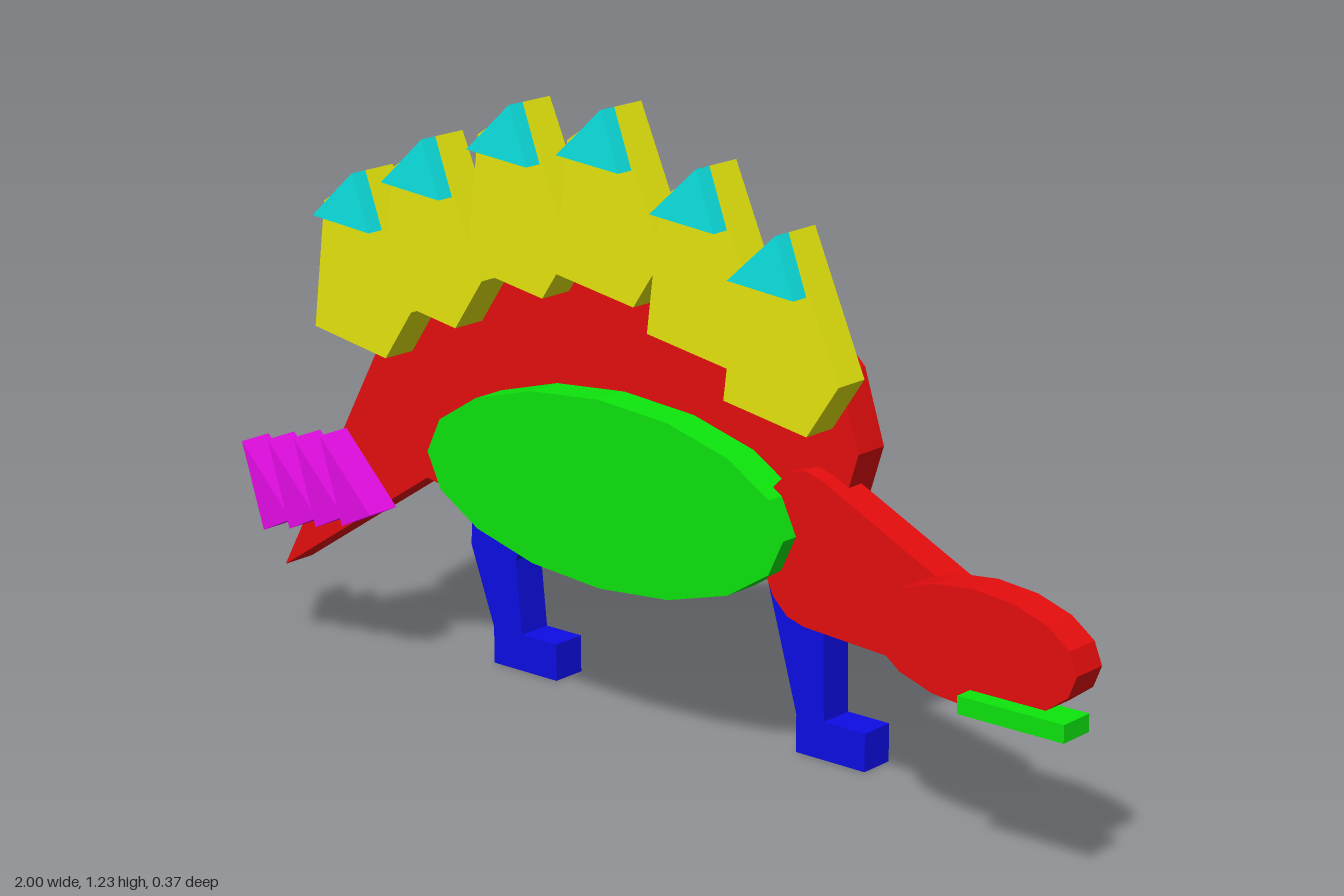
import * as THREE from 'three';

const T = 0.073; // slab thickness

function material(name, color) {
  const m = new THREE.MeshStandardMaterial({ color });
  m.name = name;
  return m;
}

// points along an elliptical arc, angles in steps of 22.5 degrees
function arc(cx, cy, rx, ry, from, to) {
  const points = [];
  for (let i = from; i <= to; i++) {
    const a = (i * Math.PI) / 8;
    points.push([cx + rx * Math.cos(a), cy + ry * Math.sin(a)]);
  }
  return points;
}

// flat cut-out of the given outline, with its back face at z
function slab(name, points, z, mat) {
  const shape = new THREE.Shape(points.map(([x, y]) => new THREE.Vector2(x, y)));
  const geometry = new THREE.ExtrudeGeometry(shape, { depth: T, bevelEnabled: false });
  const mesh = new THREE.Mesh(geometry, mat);
  mesh.name = name;
  mesh.position.z = z;
  return mesh;
}

export function createModel() {
  const red = material('red', 0xe60d0d);
  const green = material('green', 0x0de60d);
  const blue = material('blue', 0x0d0de6);
  const yellow = material('yellow', 0xe6e60d);
  const cyan = material('cyan', 0x0de6e6);
  const magenta = material('magenta', 0xe60de6);

  const model = new THREE.Group();
  model.name = 'platedDinosaur';

  // domed body running into the pointed tail
  model.add(slab('bodyAndTail', [
    ...arc(-0.135, 0.658, 0.585, 0.363, -6, 8), [-1, 0.15], [-0.6, 0.41],
  ], -T / 2, red));

  // belly patch, neck, head and jaw
  model.add(slab('belly', arc(-0.093, 0.494, 0.434, 0.181, 0, 15), T / 2, green));
  model.add(slab('neck', [
    ...arc(0.36, 0.475, 0.1, 0.145, 3, 12),
    ...arc(0.64, 0.397, 0.085, 0.085, -4, 3),
  ], 0, red));
  model.add(slab('head', arc(0.782, 0.404, 0.216, 0.107, 0, 15), T, red));
  model.add(slab('jaw', [[0.78, 0.297], [1, 0.297], [1, 0.33], [0.78, 0.33]], 1.5 * T, green));

  // legs behind the body, with rounded hips
  model.add(slab('frontLeg', [
    [0.2, 0.075], [0.2, 0], [0.361, 0], [0.361, 0.075], [0.265, 0.075],
    ...arc(0.163, 0.54, 0.095, 0.097, 0, 8),
  ], -2.5 * T, blue));
  model.add(slab('hindLeg', [
    [-0.623, 0.235], [-0.565, 0.075], [-0.565, 0], [-0.4, 0], [-0.4, 0.075],
    [-0.49, 0.075], [-0.505, 0.225],
    ...arc(-0.51, 0.465, 0.1, 0.105, 0, 8),
  ], -2.5 * T, blue));

  // back plates with coloured tips
  const plate = [[-0.144, -0.326], [0.043, -0.358], [0.112, -0.257], [0, 0], [-0.112, -0.075]];
  const tip = [[-0.107, -0.096], [0.04, -0.109], [0, 0]];
  const peaks = [[-0.64, 1.03], [-0.457, 1.12], [-0.238, 1.213], [-0.019, 1.233], [0.2, 1.158], [0.377, 1.067]];
  peaks.forEach(([px, py], i) => {
    const at = (points) => points.map(([x, y]) => [x + px, y + py]);
    model.add(slab(`backPlate${i + 1}`, at(plate), T, yellow));
    model.add(slab(`plateTip${i + 1}`, at(tip), 1.5 * T, cyan));
  });

  // tail spikes
  for (let i = 0; i < 4; i++) {
    const dx = i * 0.073, dy = i * 0.0175;
    model.add(slab(`tailSpike${i + 1}`, [
      [-1 + dx, 0.432 + dy], [-0.945 + dx, 0.26 + dy], [-0.868 + dx, 0.297 + dy],
    ], T, magenta));
  }
  return model;
}
